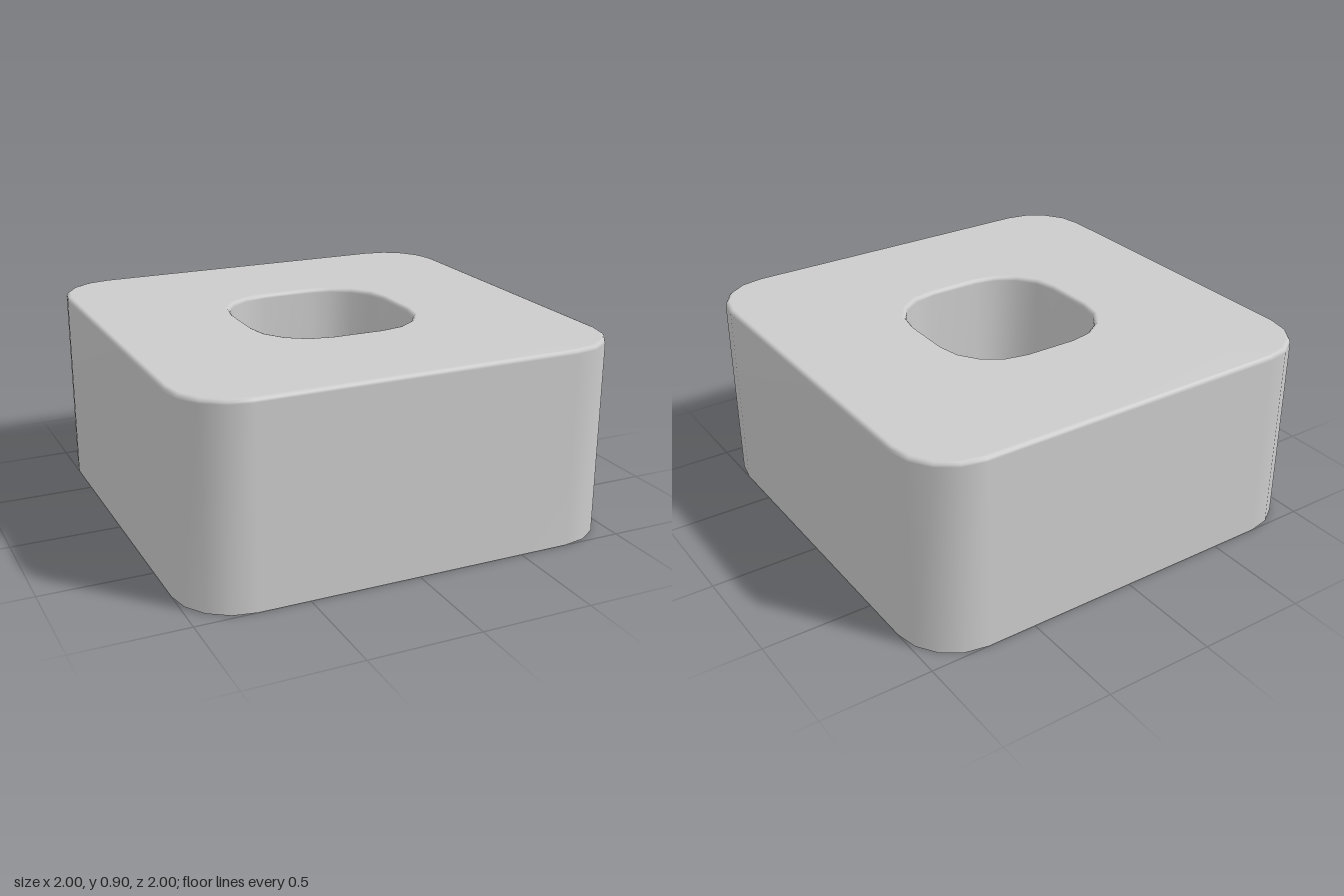
import * as THREE from 'three';

const HEIGHT = 0.9, BEVEL = 0.02, BEVEL_STEPS = 3, CORNER_STEPS = 4;

// Rounded-square loop: half width, corner radius, height
function ring(half, radius, y) {
  const points = [];
  const c = half - radius;
  for (let q = 0; q < 4; q++) {
    const mid = (q + 0.5) * Math.PI / 2;
    const cx = Math.sign(Math.cos(mid)) * c, cz = Math.sign(Math.sin(mid)) * c;
    for (let i = 0; i <= CORNER_STEPS; i++) {
      const a = (q + i / CORNER_STEPS) * Math.PI / 2;
      points.push(cx + radius * Math.cos(a), y, cz + radius * Math.sin(a));
    }
  }
  return points;
}

// Smooth skin joining successive loops
function loft(rings) {
  const n = rings[0].length / 3, index = [];
  for (let r = 0; r < rings.length - 1; r++) {
    for (let j = 0; j < n; j++) {
      const k = (j + 1) % n;
      const a = r * n + j, b = r * n + k, c = a + n, d = b + n;
      index.push(a, c, b, b, c, d);
    }
  }
  const geometry = new THREE.BufferGeometry();
  geometry.setAttribute('position', new THREE.Float32BufferAttribute(rings.flat(), 3));
  geometry.setIndex(index);
  geometry.computeVertexNormals();
  return geometry;
}

export function createModel() {
  const group = new THREE.Group();
  group.name = 'hollowSquareRing';

  // Quarter-round edge: inset from the wall and height at each step
  const edge = [];
  for (let i = 0; i <= BEVEL_STEPS; i++) {
    const a = i / BEVEL_STEPS * Math.PI / 2;
    edge.push([BEVEL * (1 - Math.cos(a)), HEIGHT - BEVEL * (1 - Math.sin(a))]);
  }

  // Up the outer wall, across the top and down the hole; open underneath
  const outer = (inset, y) => ring(1 - inset, 0.27 - inset, y);
  const hole = (inset, y) => ring(0.385 + inset, 0.265 + inset, y);
  const rings = [
    outer(0, 0),
    ...edge.map(([inset, y]) => outer(inset, y)),
    ...edge.slice().reverse().map(([inset, y]) => hole(inset, y)),
    hole(0, 0),
  ];

  const shell = new THREE.Mesh(
    loft(rings),
    new THREE.MeshStandardMaterial({ color: 0xcccccc, side: THREE.DoubleSide })
  );
  shell.name = 'shell';
  group.add(shell);
  return group;
}
